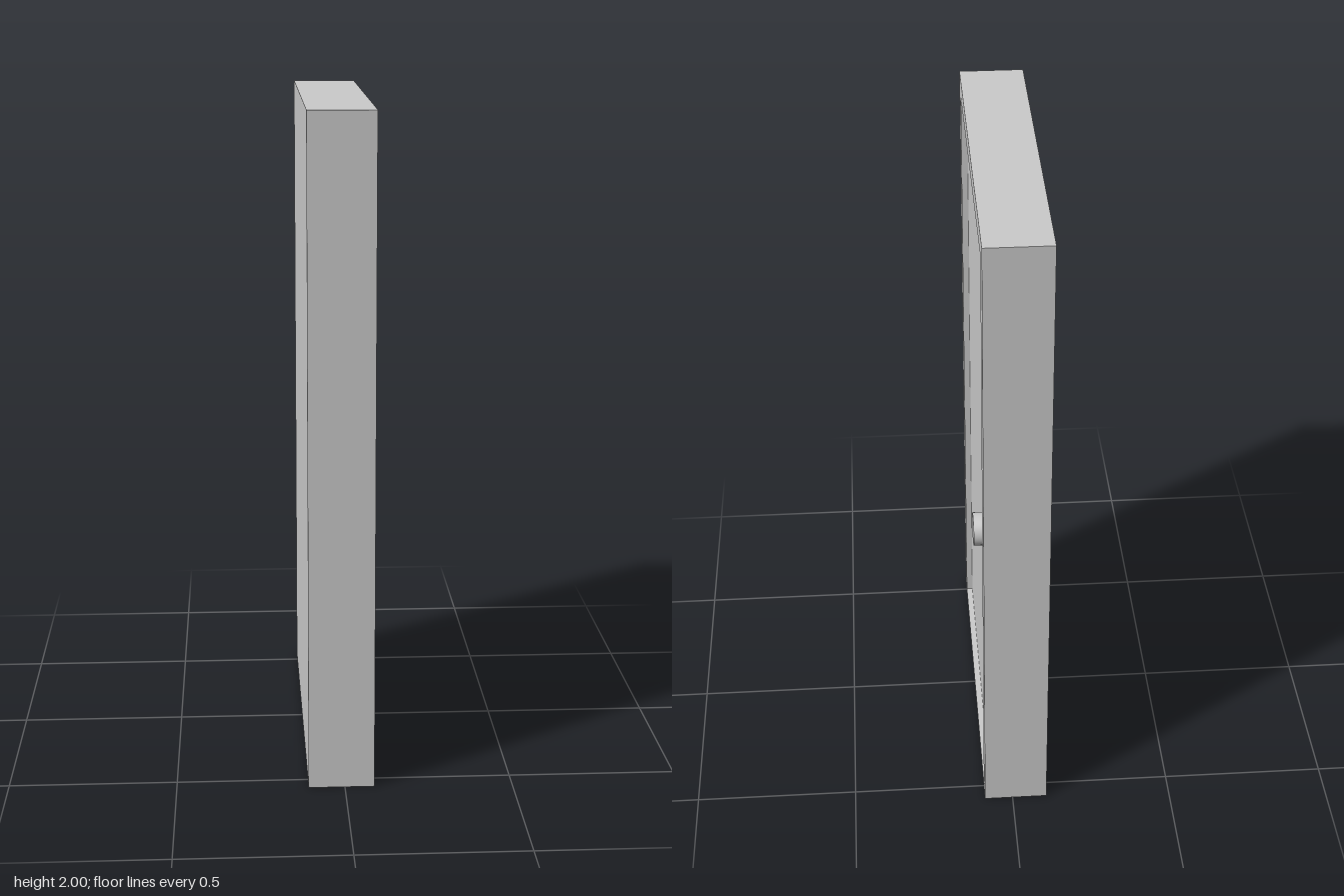
import * as THREE from 'three';

const BACK = -0.108, FRONT = 0.088, DOOR_FACE = 0.068, KNOB_END = 0.108;
const HALF_WIDTH = 0.558, HEIGHT = 2;
const DOOR_HALF = 0.496, DOOR_BOTTOM = 0.005, DOOR_TOP = 1.943;

// Closed rectangle, listed anticlockwise
function rectangle(PathType, half, bottom, top) {
  return new PathType([
    new THREE.Vector2(-half, bottom),
    new THREE.Vector2(half, bottom),
    new THREE.Vector2(half, top),
    new THREE.Vector2(-half, top),
  ]);
}

export function createModel() {
  const group = new THREE.Group();
  group.name = 'door';
  const material = new THREE.MeshStandardMaterial({ color: 0xcccccc });

  const add = (name, geometry) => {
    const mesh = new THREE.Mesh(geometry, material);
    mesh.name = name;
    group.add(mesh);
    return mesh;
  };

  // Frame with a thin sill, pushed through the full thickness
  const outline = rectangle(THREE.Shape, HALF_WIDTH, 0, HEIGHT);
  outline.holes.push(rectangle(THREE.Path, DOOR_HALF, DOOR_BOTTOM, DOOR_TOP));
  const frame = new THREE.ExtrudeGeometry(outline, { depth: FRONT - BACK, bevelEnabled: false });
  frame.rotateY(Math.PI / 2);
  add('frame', frame).position.x = BACK;

  // Door leaf, flush at the back and slightly recessed on the knob side
  const leaf = new THREE.BoxGeometry(DOOR_FACE - BACK, DOOR_TOP - DOOR_BOTTOM, DOOR_HALF * 2);
  add('doorLeaf', leaf).position.set((DOOR_FACE + BACK) / 2, (DOOR_TOP + DOOR_BOTTOM) / 2, 0);

  // Round flat knob
  const knob = new THREE.CylinderGeometry(0.05, 0.05, KNOB_END - DOOR_FACE, 48);
  knob.rotateZ(-Math.PI / 2);
  add('knob', knob).position.set((KNOB_END + DOOR_FACE) / 2, 0.935, -0.364);

  return group;
}
